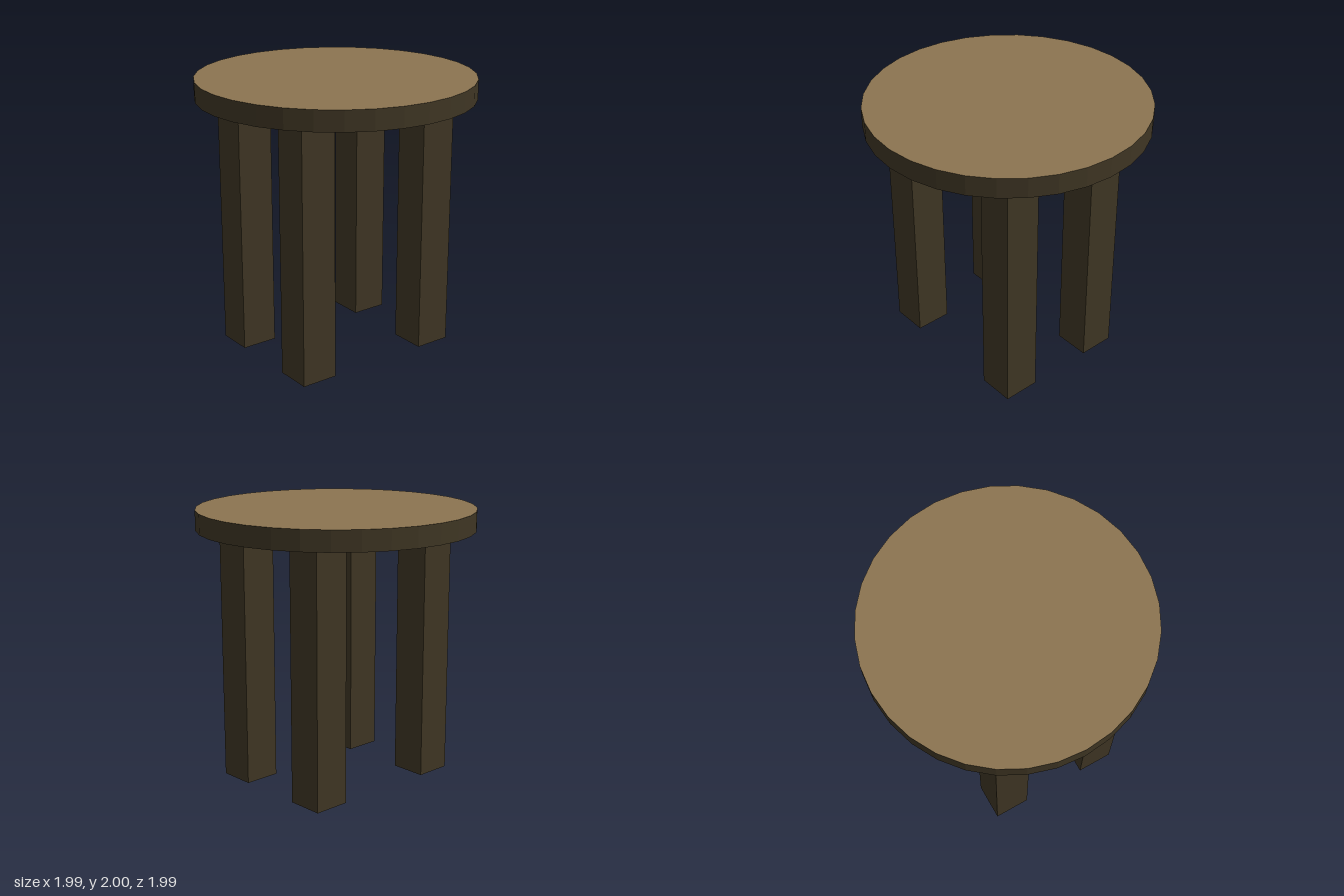
import * as THREE from 'three';

export function createModel() {
  const model = new THREE.Group();
  model.name = 'stool';

  const lightWood = new THREE.MeshStandardMaterial({ color: 0x8b7450 });
  lightWood.name = 'light wood';
  const darkWood = new THREE.MeshStandardMaterial({ color: 0x3e3523 });
  darkWood.name = 'dark wood';
  darkWood.flatShading = true;

  // Round seat slab: dark rim and underside, light top face
  const thickness = 0.145;
  const seat = new THREE.Mesh(
    new THREE.CylinderGeometry(0.995, 0.995, thickness, 32),
    [darkWood, lightWood, darkWood]
  );
  seat.name = 'seat';
  seat.position.y = 2 - thickness / 2;
  model.add(seat);

  // Four square legs, set slightly off centre under the seat
  const legHeight = 2 - thickness;
  const legGeometry = new THREE.BoxGeometry(0.268, legHeight, 0.268);
  for (const [side, x] of [['Left', 0.41], ['Right', -0.347]]) {
    for (const [end, z] of [['front', 0.548], ['back', -0.49]]) {
      const leg = new THREE.Mesh(legGeometry, darkWood);
      leg.name = `${end}${side}Leg`;
      leg.position.set(x, legHeight / 2, z);
      model.add(leg);
    }
  }

  return model;
}
